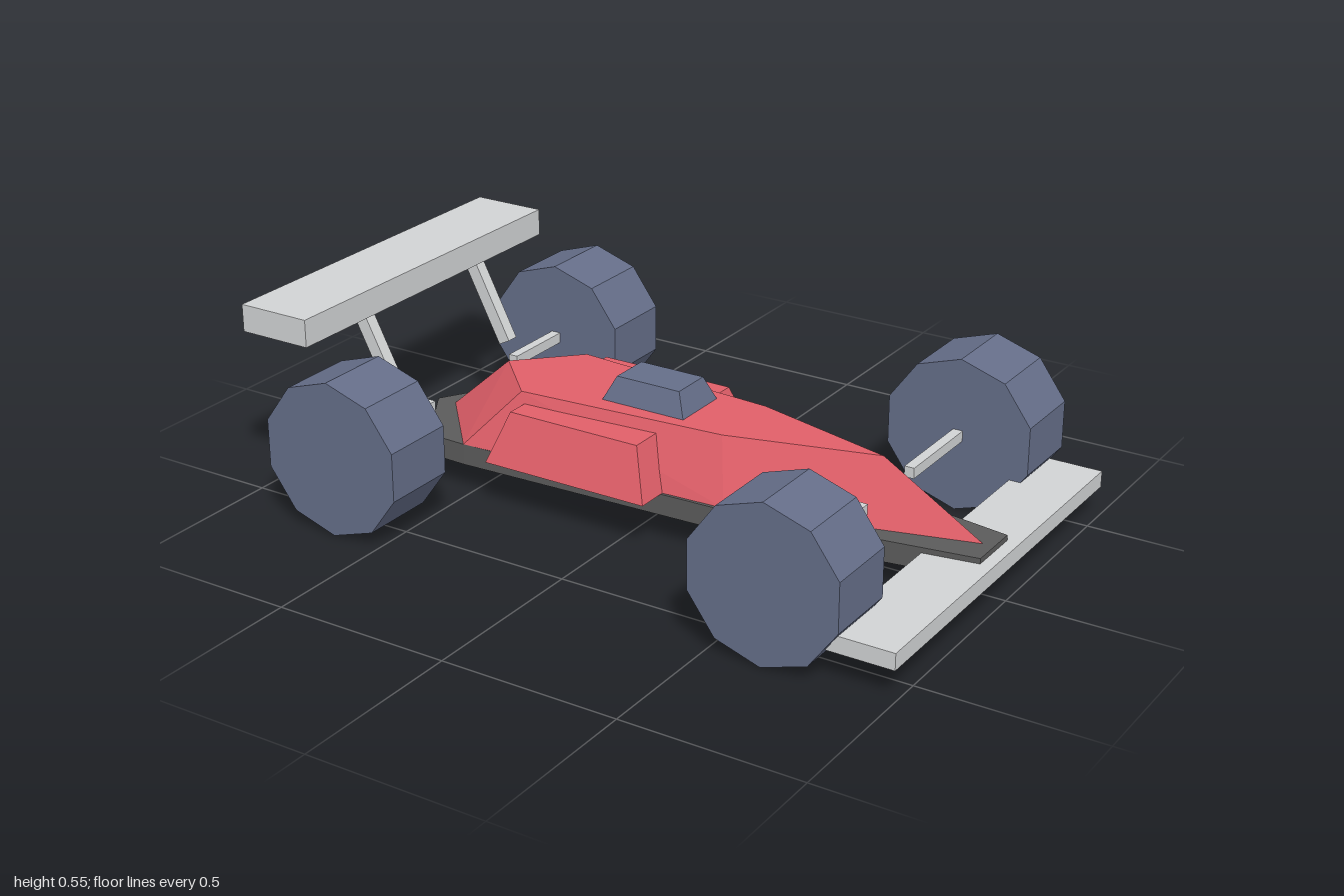
import * as THREE from 'three';
import { ConvexGeometry } from 'three/addons/geometries/ConvexGeometry.js';

export function createModel() {
  const car = new THREE.Group();
  car.name = 'raceCar';

  const paint = (name, color) => {
    const m = new THREE.MeshStandardMaterial({ color });
    m.name = name;
    return m;
  };
  const red = paint('red', 0xe15f69);
  const slate = paint('slateBlue', 0x656e89);
  const silver = paint('lightGrey', 0xd1d3d4);
  const dark = paint('darkGrey', 0x5b5b5b);

  const add = (name, geometry, material, x = 0, y = 0, z = 0) => {
    const mesh = new THREE.Mesh(geometry, material);
    mesh.name = name;
    mesh.position.set(x, y, z);
    car.add(mesh);
    return mesh;
  };

  // Faceted solid between two half outlines [x, z], mirrored across z = 0
  const solid = (name, material, y0, bottom, y1, top) => {
    const points = [];
    for (const [y, outline] of [[y0, bottom], [y1, top]]) {
      for (const [x, z] of outline) {
        points.push(new THREE.Vector3(x, y, z));
        if (z) points.push(new THREE.Vector3(x, y, -z));
      }
    }
    const geometry = new ConvexGeometry(points);
    return add(name, geometry, material);
  };

  // Floor plate
  const floor = [[-0.77, 0], [-0.64, 0.212], [-0.52, 0.216], [0.28, 0.185], [0.96, 0.077]];
  solid('floor', dark, 0.08, floor, 0.14, floor);

  // Body with pointed nose and tail
  solid('body', red,
    0.14, [[-0.71, 0], [-0.52, 0.216], [0.28, 0.175], [0.93, 0]],
    0.31, [[-0.52, 0], [-0.365, 0.155], [0.235, 0.11], [0.645, 0]]);

  // Side pods, one block running through the body
  solid('sidePods', red,
    0.14, [[-0.4, 0.278], [0.1, 0.278]],
    0.28, [[-0.35, 0.228], [0.05, 0.228]]);

  // Cockpit
  solid('cockpit', slate,
    0.31, [[-0.153, 0.084], [0.1, 0.084]],
    0.375, [[-0.122, 0.059], [0.072, 0.059]]);

  // Wings
  add('frontWing', new THREE.BoxGeometry(0.185, 0.046, 1.174), silver, 0.9025, 0.102, 0);
  add('rearWing', new THREE.BoxGeometry(0.215, 0.077, 1.052), silver, -0.8925, 0.5085, 0);

  // Wheels, axles and rear wing struts on both sides
  const wheel = new THREE.CylinderGeometry(0.2175, 0.2175, 0.217, 10).toNonIndexed();
  wheel.rotateX(Math.PI / 2);
  wheel.computeVertexNormals();
  for (const side of [1, -1]) {
    const label = side > 0 ? 'Left' : 'Right';
    for (const [end, x, inner] of [['front', 0.655, 0.125], ['rear', -0.645, 0.19]]) {
      add(end + label + 'Wheel', wheel, slate, x, 0.2175, side * 0.5115);
      const length = 0.42 - inner;
      add(end + label + 'Axle', new THREE.BoxGeometry(0.028, 0.03, length), silver,
        x, 0.2175, side * (inner + length / 2));
    }
    const strut = add('rearWing' + label + 'Strut', new THREE.BoxGeometry(0.038, 0.275, 0.036),
      silver, -0.7675, 0.3675, side * 0.248);
    strut.rotation.z = Math.atan2(0.115, 0.225);
  }

  return car;
}
